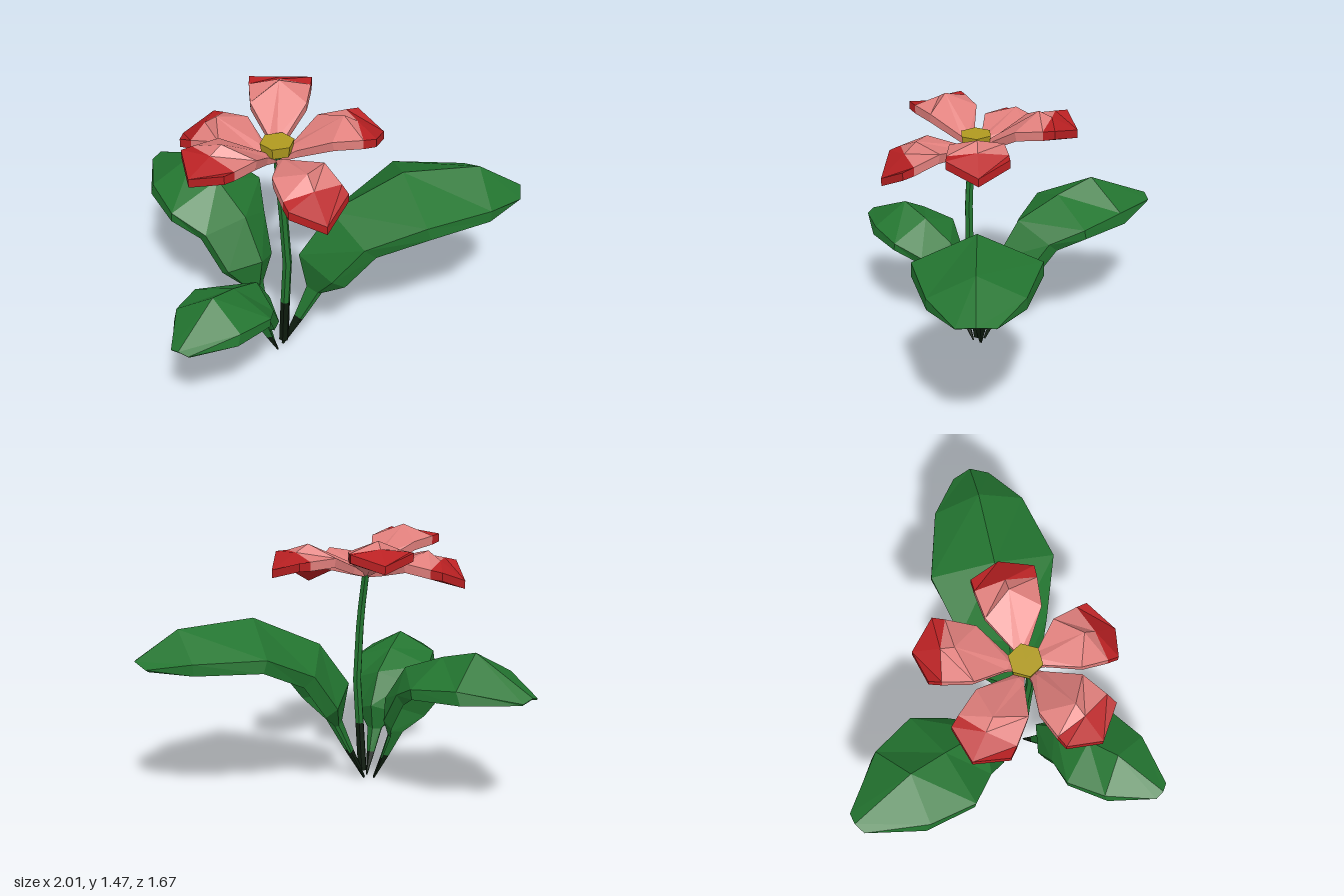
import * as THREE from 'three';

const paint = (name, color) => {
  const m = new THREE.MeshStandardMaterial({ color, flatShading: true });
  m.name = name;
  return m;
};

// Skin a list of equal-sized rings, each ring counter-clockwise seen from the far end
function loft(name, rings, material, capStart, capEnd) {
  const out = [];
  const tri = (...pts) => pts.forEach((p) => out.push(p.x, p.y, p.z));
  const n = rings[0].length;
  for (let k = 0; k < rings.length - 1; k++) {
    const a = rings[k], b = rings[k + 1];
    for (let i = 0; i < n; i++) {
      const j = (i + 1) % n;
      tri(a[i], a[j], b[j]);
      tri(a[i], b[j], b[i]);
    }
  }
  const first = rings[0], last = rings[rings.length - 1];
  for (let i = 1; i < n - 1; i++) {
    if (capStart) tri(first[0], first[i + 1], first[i]);
    if (capEnd) tri(last[0], last[i], last[i + 1]);
  }
  const g = new THREE.BufferGeometry();
  g.setAttribute('position', new THREE.Float32BufferAttribute(out, 3));
  g.computeVertexNormals();
  const mesh = new THREE.Mesh(g, material);
  mesh.name = name;
  return mesh;
}

// Roof-shaped shell section: ridge (rx, ry), upper edge (ex, ey) at half width w, thickness (tx, ty)
function section(rx, ry, ex, ey, w, tx, ty) {
  const v = (x, y, z) => new THREE.Vector3(x, y, z);
  return [
    v(rx, ry, 0), v(ex, ey, w), v(ex + tx, ey + ty, w),
    v(rx + tx, ry + ty, 0), v(ex + tx, ey + ty, -w), v(ex, ey, -w),
  ];
}

// Leaf stations: ridge x, ridge y, lower edge x, lower edge y, half width
const STALK = [
  [0.005, 0.02, 0.015, 0.01, 0.005],
  [0.08, 0.2, 0.12, 0.19, 0.035],
  [0.15, 0.385, 0.22, 0.375, 0.065],
  [0.11, 0.6, 0.32, 0.48, 0.18],
  [0.285, 0.85, 0.47, 0.69, 0.24],
];
const LONG_BLADE = [
  [0.67, 1.04, 0.73, 0.83, 0.338],
  [1.09, 1.02, 1.08, 0.83, 0.245],
  [1.33, 0.87, 1.28, 0.835, 0.1],
];
const SHORT_BLADE = [
  [0.6, 0.98, 0.635, 0.79, 0.36],
  [0.87, 1.06, 0.98, 0.81, 0.3],
  [1.325, 0.865, 1.3, 0.83, 0.08],
];

export function createModel() {
  const green = paint('leaf green', 0x237530);
  const dark = paint('dark base green', 0x0e1c0e);
  const pink = paint('petal pink', 0xe07f7c);
  const red = paint('petal tip red', 0xb92022);
  const gold = paint('centre gold', 0xb09a20);
  const model = new THREE.Group();
  model.name = 'flower';

  // Leaves: dark stalk foot and a thick folded blade
  function leaf(name, blade, x, z, yaw, scale, scaleY) {
    const rings = [...STALK, ...blade].map(([rx, ry, lx, ly, w]) => {
      const tx = (lx - rx) / 3, ty = (ly - ry) / 3;
      return section(rx, ry, lx - tx, ly - ty, w, tx, ty);
    });
    const g = new THREE.Group();
    g.name = name;
    g.add(loft('leafBase', rings.slice(0, 2), dark, true, false));
    g.add(loft('leafBlade', rings.slice(1), green, false, true));
    g.position.set(x, 0, z);
    g.rotation.y = yaw;
    g.scale.set(scale, scaleY, scale);
    model.add(g);
  }
  leaf('leftLeaf', LONG_BLADE, -0.33, 0.178, -0.055, 1, 1);
  leaf('backLeaf', SHORT_BLADE, -0.365, 0.165, Math.atan2(0.99, -0.41), 0.81, 0.86);
  leaf('frontRightLeaf', SHORT_BLADE, -0.35, 0.215, Math.atan2(-0.56, -0.61), 0.65, 0.69);

  // Stem: hexagonal rings along a slightly bent path, dark at the foot
  const stemRings = [
    [-0.315, 0.06, 0.195, 0.027], [-0.31, 0.34, 0.225, 0.026], [-0.297, 0.6, 0.235, 0.025],
    [-0.312, 0.9, 0.235, 0.024], [-0.32, 1.03, 0.228, 0.023], [-0.325, 1.23, 0.19, 0.022],
  ].map(([x, y, z, r]) => Array.from({ length: 6 }, (_, i) => {
    const a = (i / 6) * Math.PI * 2;
    return new THREE.Vector3(x + r * Math.cos(a), y, z - r * Math.sin(a));
  }));
  model.add(loft('stemFoot', stemRings.slice(0, 2), dark, true, false));
  model.add(loft('stem', stemRings.slice(1), green, false, true));

  // Petals: the same shell, each raised or drooped by its own slope
  function petal(name, degrees, length, slope) {
    const rings = [
      [0.0, 1.215, 0.0, 1.21, 0.006, 0, -0.01],
      [0.08, 1.285, 0.09, 1.275, 0.04, 0.01, -0.04],
      [0.35, 1.42, 0.25, 1.36, 0.145, 0.01, -0.05],
      [0.42, 1.378, 0.405, 1.358, 0.162, 0, -0.05],
      [0.56, 1.295, 0.47, 1.357, 0.165, 0, -0.045],
    ].map((s) => {
      const ring = section(...s);
      ring.forEach((p) => { p.y += slope * p.x; p.x *= length; });
      return ring;
    });
    const g = new THREE.Group();
    g.name = name;
    g.add(loft('petalBody', rings.slice(0, 4), pink, true, false));
    g.add(loft('petalTip', rings.slice(3), red, false, true));
    g.position.set(-0.33, 0, 0.19);
    g.rotation.y = THREE.MathUtils.degToRad(degrees);
    model.add(g);
  }
  petal('leftPetal', -1, 1.005, 0);
  petal('backPetal', 73, 1, 0.17);
  petal('backRightPetal', 137, 0.99, -0.13);
  petal('frontRightPetal', 207, 0.99, 0.07);
  petal('frontPetal', 283, 0.95, -0.31);

  // Hexagonal flower centre
  const centre = new THREE.Mesh(new THREE.CylinderGeometry(0.09, 0.08, 0.06, 6), gold);
  centre.name = 'flowerCentre';
  centre.position.set(-0.325, 1.292, 0.19);
  centre.rotation.y = Math.PI / 2;
  model.add(centre);

  return model;
}
